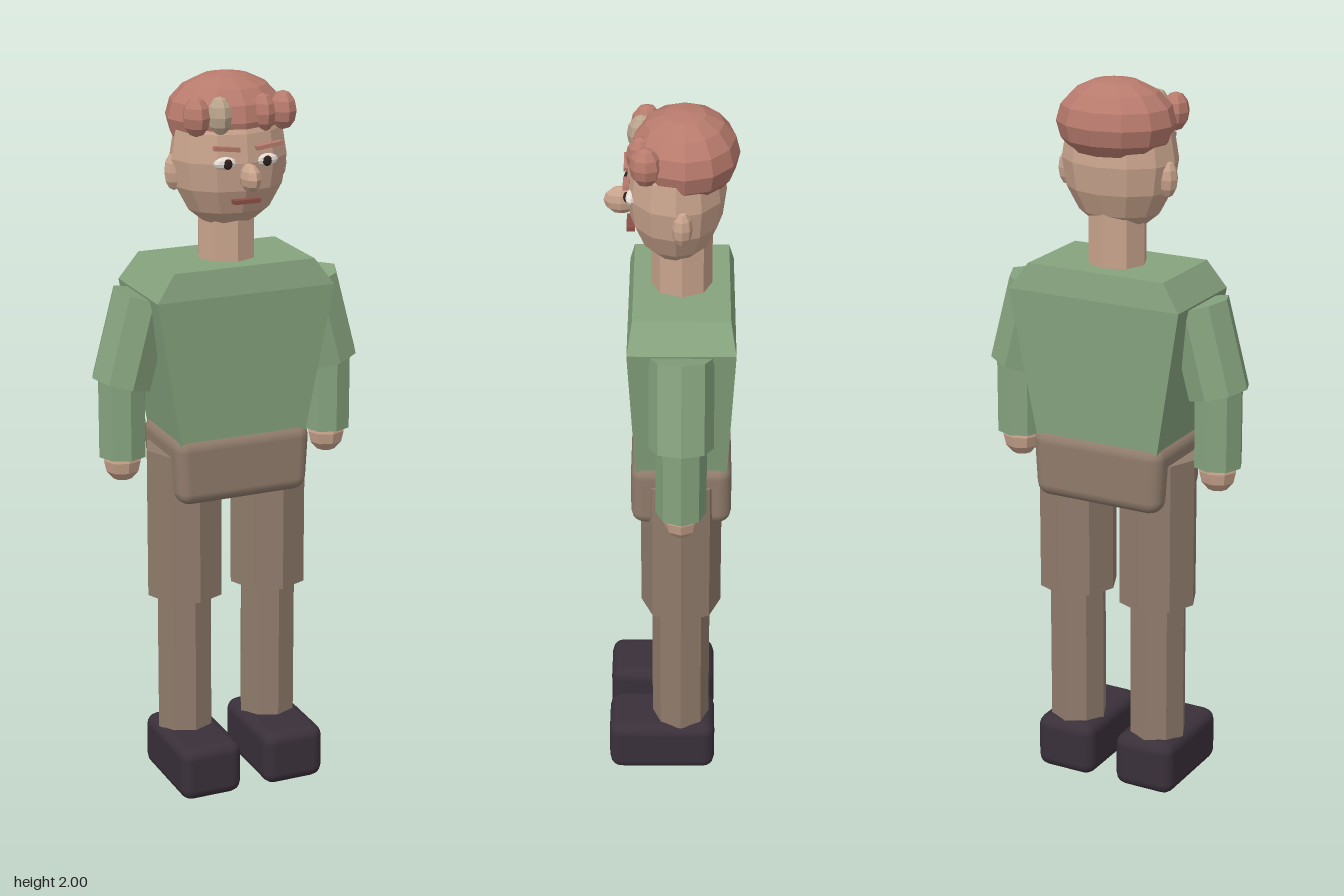
import * as THREE from 'three';
import { RoundedBoxGeometry } from 'three/addons/geometries/RoundedBoxGeometry.js';

const Z = -0.028; // depth of the body axis

export function createModel() {
  const model = new THREE.Group();
  model.name = 'man';

  const material = (name, color) => {
    const m = new THREE.MeshStandardMaterial({ color });
    m.name = name;
    return m;
  };
  const skin = material('skin', 0xc9a48d);
  const hairRed = material('hair red', 0xb87b6d);
  const tan = material('tan', 0xbaa48c);
  const green = material('sweater green', 0x86a37e);
  const brown = material('trouser brown', 0x8f7b6b);
  const black = material('shoe black', 0x3a303a);
  const white = material('eye white', 0xe6ddd4);
  const dark = material('pupil dark', 0x2c1e1c);
  const lip = material('lip', 0x8a4f45);

  const add = (name, geometry, mat, x, y, z, parent = model) => {
    const mesh = new THREE.Mesh(geometry, mat);
    mesh.name = name;
    mesh.position.set(x, y, z);
    parent.add(mesh);
    return mesh;
  };
  // Faceted copy of a geometry
  const flat = (geometry) => {
    const g = geometry.toNonIndexed();
    g.computeVertexNormals();
    return g;
  };
  const ball = (rx, ry, rz, w = 8, h = 6) =>
    flat(new THREE.SphereGeometry(1, w, h).scale(rx, ry, rz));
  const limb = (r, height) => flat(new THREE.CylinderGeometry(r, r, height, 8));

  // Torso: a box whose three levels get their own width and depth
  const levels = {
    '-1': [0.18, 0.121, 1.0],
    '0': [0.255, 0.141, 1.43],
    '1': [0.202, 0.127, 1.503],
  };
  const torso = new THREE.BoxGeometry(2, 2, 2, 1, 2, 1);
  const p = torso.attributes.position;
  for (let i = 0; i < p.count; i++) {
    const [w, d, y] = levels[Math.round(p.getY(i))];
    p.setXYZ(i, p.getX(i) * w, y, p.getZ(i) * d);
  }
  add('torso', flat(torso), green, 0, 0, Z);

  // Pelvis, narrowing slightly downward
  const pelvis = new RoundedBoxGeometry(0.4, 0.19, 0.27, 2, 0.036);
  const q = pelvis.attributes.position;
  for (let i = 0; i < q.count; i++) {
    const s = 0.97 + 0.3 * Math.min(q.getY(i) + 0.0, 0.1);
    q.setX(i, q.getX(i) * s);
  }
  add('pelvis', pelvis, brown, 0, 0.943, Z);

  // Legs and arms
  for (const side of [-1, 1]) {
    const word = side > 0 ? 'left' : 'right';

    const leg = new THREE.Group();
    leg.name = word + 'Leg';
    model.add(leg);
    add('thigh', limb(0.11, 0.425), brown, side * 0.125, 0.768, Z, leg);
    add('shin', limb(0.08, 0.46), brown, side * 0.127, 0.38, Z, leg);
    add('shoe', new RoundedBoxGeometry(0.18, 0.157, 0.3, 2, 0.033), black,
      side * 0.125, 0.0785, 0.025, leg);

    const arm = new THREE.Group();
    arm.name = word + 'Arm';
    model.add(arm);
    const upper = add('upperArm', limb(0.085, 0.246), green, side * 0.274, 1.302, Z, arm);
    upper.rotation.z = side * 0.26;
    add('forearm', limb(0.067, 0.22), green, side * 0.305, 1.09, Z, arm);
    add('hand', ball(0.054, 0.062, 0.05), skin, side * 0.305, 0.967, Z, arm);
  }

  // Neck and head
  add('neck', limb(0.08, 0.17), skin, 0, 1.57, Z);
  const head = new THREE.Group();
  head.name = 'head';
  model.add(head);
  add('skull', ball(0.162, 0.197, 0.13, 12, 8), skin, 0, 1.782, -0.013, head);
  add('nose', ball(0.026, 0.038, 0.045), skin, 0, 1.747, 0.129, head);
  add('mouth', new THREE.BoxGeometry(0.074, 0.011, 0.022), lip, 0, 1.68, 0.104, head);

  // Paired face features
  for (const side of [-1, 1]) {
    add('ear', ball(0.027, 0.05, 0.028), skin, side * 0.149, 1.745, Z, head);
    add('eye', ball(0.034, 0.017, 0.016), white, side * 0.058, 1.785, 0.102, head);
    add('pupil', ball(0.013, 0.014, 0.008), dark, side * 0.056, 1.784, 0.114, head);
    const brow = add('eyebrow', new THREE.BoxGeometry(0.072, 0.011, 0.016), hairRed,
      side * 0.06, 1.825, 0.114, head);
    brow.rotation.z = side * 0.13;
  }

  // Hair cap and fringe curls
  add('hair', ball(0.163, 0.115, 0.141, 12, 8), hairRed, 0, 1.885, -0.035, head);
  const curls = [
    [-0.123, 0.063, 0.037, hairRed],
    [-0.063, 0.076, 0.033, tan],
    [0.06, 0.076, 0.033, hairRed],
    [0.123, 0.063, 0.037, hairRed],
  ];
  for (const [x, z, r, mat] of curls) {
    add('curl', ball(r, 0.052, r + 0.005), mat, x, 1.904, z, head);
  }

  return model;
}
